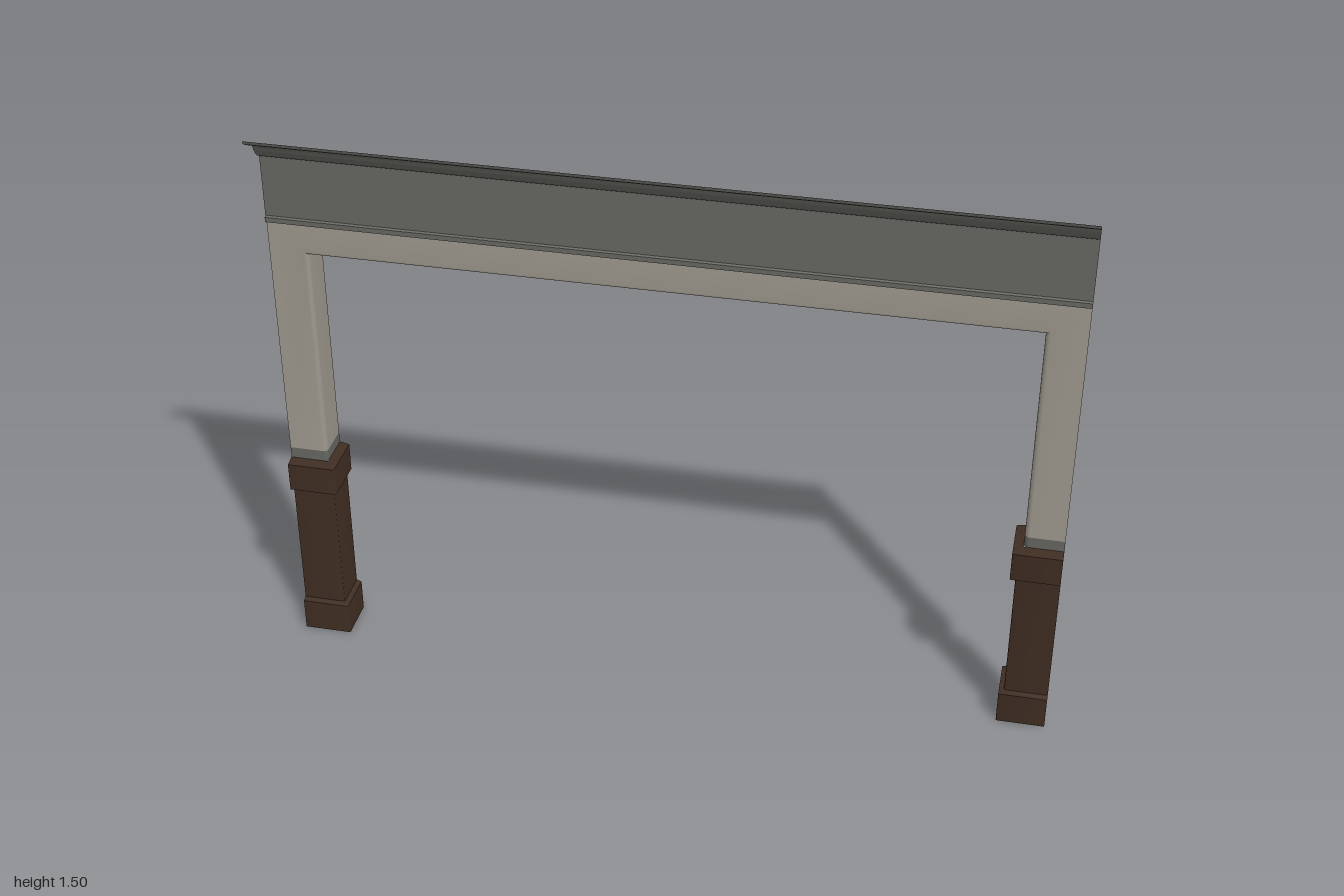
import * as THREE from 'three';
import { toCreasedNormals } from 'three/addons/utils/BufferGeometryUtils.js';

const BACK = -0.095; // rear edge of every return

function material(name, color) {
  const m = new THREE.MeshStandardMaterial({ color, side: THREE.DoubleSide });
  m.name = name;
  return m;
}

// Skin a grid of cross-section points into an open shell
function loft(name, rows, mat) {
  const pos = [];
  for (let i = 0; i < rows.length - 1; i++) {
    for (let j = 0; j < rows[i].length - 1; j++) {
      const a = rows[i][j], b = rows[i][j + 1], c = rows[i + 1][j + 1], d = rows[i + 1][j];
      pos.push(...a, ...b, ...c, ...a, ...c, ...d);
    }
  }
  const g = new THREE.BufferGeometry();
  g.setAttribute('position', new THREE.Float32BufferAttribute(pos, 3));
  const mesh = new THREE.Mesh(toCreasedNormals(g, 0.6), mat);
  mesh.name = name;
  return mesh;
}

// Quarter-round corner between a return (at offset 0) and a face (at depth z)
function corner(z, r, steps = 4) {
  return Array.from({ length: steps + 1 }, (_, i) => {
    const t = (i / steps) * Math.PI / 2;
    return [r - r * Math.cos(t), z - r + r * Math.sin(t)];
  });
}

// L-shaped post section stacked through levels of [y, inner x, front z]
function post(name, levels, side, r, mat) {
  const rows = levels.map(([y, inner, z]) => {
    const section = [[0, BACK], ...corner(z, r), [1 - inner, z]];
    const row = section.map(([o, pz]) => [side * (inner + o), y, pz]);
    return side < 0 ? row.reverse() : row;
  });
  return loft(name, rows, mat);
}

export function createModel() {
  const plaster = material('plaster', 0x9d988d);
  const slate = material('slate grey', 0x656560);
  const wood = material('dark wood', 0x3f2d22);
  const model = new THREE.Group();
  model.name = 'openingSurround';

  // Plaster surround: one section mitred around the opening
  const section = [[0, BACK], ...corner(0, 0.012), [0.1, 0]];
  const stations = [
    o => [0.9 + o, 0.575], o => [0.9 + o, 1.155 + o * 0.85],
    o => [-0.9 - o, 1.155 + o * 0.85], o => [-0.9 - o, 0.575],
  ];
  model.add(loft('plasterSurround', stations.map(s => section.map(([o, z]) => [...s(o), z])), plaster));

  // Posts: plinth, shaft and cap in wood, grey collar above
  for (const [label, side] of [['left', 1], ['right', -1]]) {
    model.add(post(label + 'WoodPost', [
      [0, 0.875, 0.02], [0.088, 0.875, 0.02], [0.092, 0.888, 0.005],
      [0.46, 0.888, 0.005], [0.462, 0.875, 0.03], [0.54, 0.875, 0.03], [0.545, 0.9, 0],
    ], side, 0.004, wood));
    model.add(post(label + 'Collar', [[0.545, 0.9, 0], [0.575, 0.9, 0]], side, 0.012, slate));
  }

  // Frieze and cornice: [z, y] profiles extended across the full width
  const across = (name, profile) =>
    model.add(loft(name, profile.map(([z, y]) => [[-1, y, z], [1, y, z]]), slate));
  across('frieze', [[0, 1.24], [0.009, 1.242], [0.009, 1.255], [0.003, 1.258], [0.003, 1.42]]);
  across('cornice', [
    [0.003, 1.42], [0.012, 1.424], [0.025, 1.436], [0.03, 1.446], [0.034, 1.45],
    [0.038, 1.462], [0.048, 1.473], [0.062, 1.48], [0.078, 1.484], [0.08, 1.488],
    [0.091, 1.492], [0.095, 1.502],
  ]);

  return model;
}
